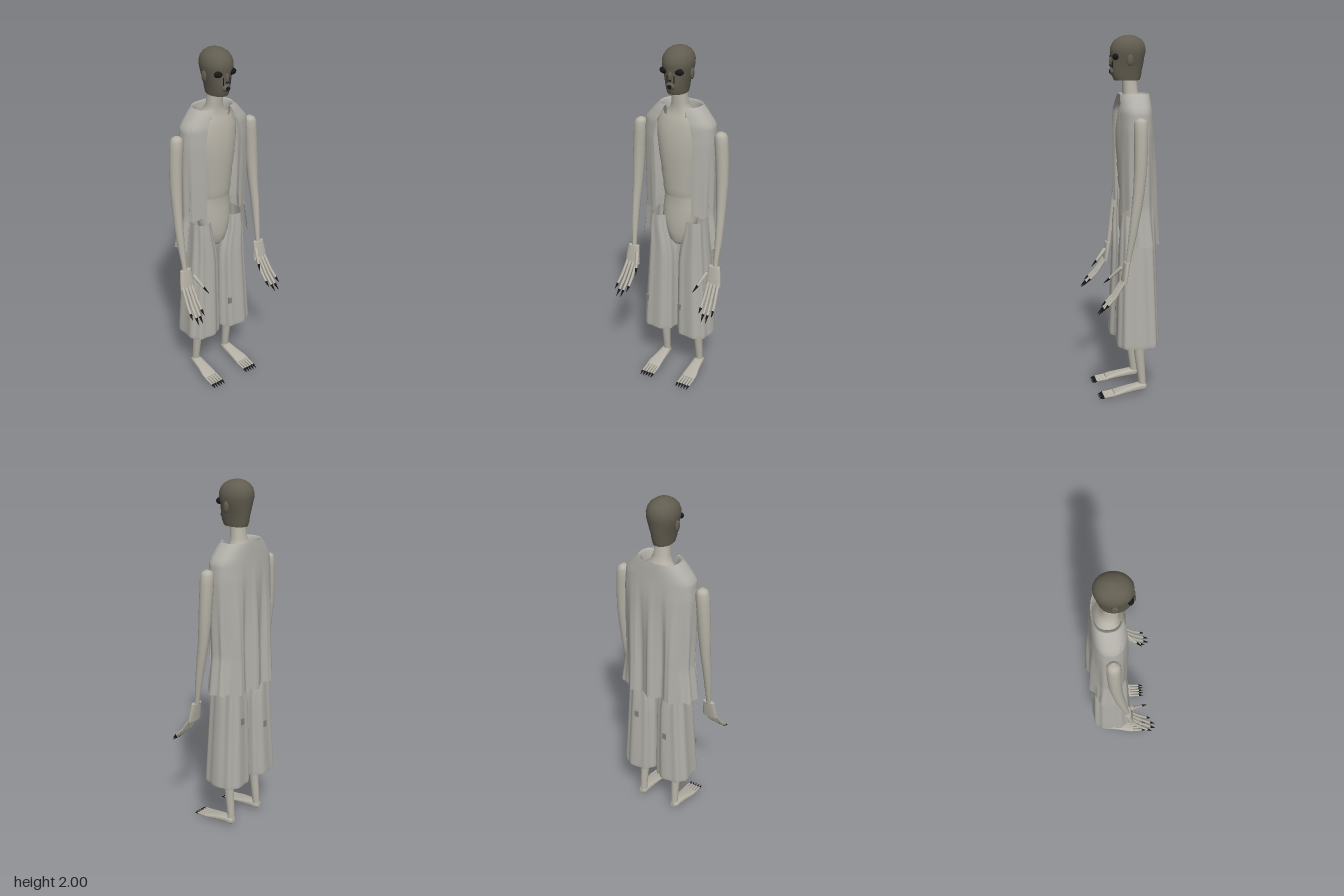
import * as THREE from 'three';

const mat = (name, color, side = THREE.FrontSide) => {
  const m = new THREE.MeshStandardMaterial({ color, side });
  m.name = name;
  return m;
};
const spow = (v, p) => Math.sign(v) * Math.pow(Math.abs(v), p);

// Grid of points f(column, row) turned into a smooth surface
function grid(cols, rows, closed, f) {
  const pos = [], idx = [], n = closed ? cols : cols + 1;
  for (let j = 0; j <= rows; j++) for (let i = 0; i < n; i++) pos.push(...f(i / cols, j));
  for (let j = 0; j < rows; j++) for (let i = 0; i < cols; i++) {
    const k = (i + 1) % n, a = j * n + i, b = j * n + k, c = a + n, d = b + n;
    idx.push(a, b, c, b, d, c);
  }
  const g = new THREE.BufferGeometry();
  g.setAttribute('position', new THREE.Float32BufferAttribute(pos, 3));
  g.setIndex(idx);
  g.computeVertexNormals();
  return g;
}

// Rings from bottom to top: [y, centreX, centreZ, radiusX, radiusZ]
function loft(rings, { p = 1, seg = 32, cap = true, arc = 0, ripple = () => 0 } = {}) {
  const r = rings.slice();
  if (cap) {
    const a = r[0], b = r[r.length - 1];
    r.unshift([a[0], a[1], a[2], 0, 0], a);
    r.push(b, [b[0], b[1], b[2], 0, 0]);
  }
  return grid(seg, r.length - 1, arc === 0, (u, j) => {
    const t = arc + u * (Math.PI * 2 - arc * 2), [y, cx, cz, rx, rz] = r[j];
    const k = rx > 0 ? ripple(t, y) : 0;
    return [cx + (rx + k) * spow(Math.sin(t), p), y, cz + (rz + k) * spow(Math.cos(t), p)];
  });
}

// Tapered rod between two points
function rod(a, b, ra, rb) {
  const A = new THREE.Vector3(...a), B = new THREE.Vector3(...b), d = B.clone().sub(A);
  const g = new THREE.CylinderGeometry(rb, ra, d.length(), 10);
  g.applyQuaternion(new THREE.Quaternion().setFromUnitVectors(new THREE.Vector3(0, 1, 0), d.normalize()));
  return g.translate(...A.add(B).multiplyScalar(0.5).toArray());
}

// Linear interpolation in a table with falling y
function sample(table, y) {
  let i = 0;
  while (i < table.length - 2 && y < table[i + 1][0]) i++;
  const a = table[i], b = table[i + 1];
  const t = THREE.MathUtils.clamp((a[0] - y) / (a[0] - b[0]), 0, 1);
  return a.map((v, k) => v + (b[k] - v) * t);
}

export function createModel() {
  const model = new THREE.Group();
  const cloth = mat('worn cloth', 0xb0aea7, THREE.DoubleSide);
  const skin = mat('pale skin', 0xb5b1a6);
  const mask = mat('dark head', 0x625d50);
  const black = mat('black', 0x17171a);
  const patchMat = mat('patch grey', 0x85837c);
  const add = (parent, name, geo, m) => {
    const mesh = new THREE.Mesh(geo, m);
    mesh.name = name;
    parent.add(mesh);
    return mesh;
  };

  // Torso and neck
  add(model, 'torso', loft([
    [0.865, 0, -0.04, 0.035, 0.035], [0.89, 0, -0.04, 0.052, 0.055], [0.95, 0, -0.045, 0.08, 0.07],
    [1.03, 0, -0.05, 0.105, 0.075], [1.1, 0, -0.05, 0.1, 0.07], [1.16, 0, -0.05, 0.092, 0.068],
    [1.175, 0, -0.05, 0.092, 0.074], [1.22, 0, -0.05, 0.1, 0.08], [1.24, 0, -0.05, 0.099, 0.078],
    [1.3, 0, -0.05, 0.11, 0.085], [1.32, 0, -0.05, 0.109, 0.083], [1.4, 0, -0.05, 0.122, 0.09],
    [1.5, 0, -0.052, 0.135, 0.09], [1.58, 0, -0.055, 0.14, 0.082], [1.63, 0, -0.055, 0.105, 0.068],
    [1.66, 0, -0.05, 0.062, 0.05], [1.7, 0, -0.036, 0.044, 0.042], [1.8, 0, -0.03, 0.038, 0.036],
  ], { p: 0.9, seg: 40 }), skin);

  // Head with flat-cut jaw
  const head = new THREE.Group();
  head.name = 'head';
  model.add(head);
  add(head, 'skull', loft([
    [1.76, 0, -0.018, 0.05, 0.07], [1.785, 0, -0.016, 0.055, 0.08], [1.82, 0, -0.016, 0.06, 0.085],
    [1.85, 0, -0.02, 0.068, 0.088], [1.88, 0, -0.022, 0.076, 0.09], [1.905, 0, -0.022, 0.081, 0.096],
    [1.93, 0, -0.023, 0.082, 0.096], [1.955, 0, -0.025, 0.075, 0.088], [1.975, 0, -0.026, 0.062, 0.072],
    [1.99, 0, -0.028, 0.041, 0.048], [1.998, 0, -0.03, 0.018, 0.022], [2, 0, -0.03, 0.001, 0.001],
  ], { p: 0.95, seg: 40 }), mask);
  const blob = (name, x, y, z, rx, ry, rz, m) =>
    add(head, name, new THREE.SphereGeometry(1, 20, 14).scale(rx, ry, rz).translate(x, y, z), m);
  for (const s of [-1, 1]) {
    blob('eye', s * 0.042, 1.885, 0.053, 0.027, 0.018, 0.016, black);
    blob('ear', s * 0.079, 1.865, -0.02, 0.009, 0.03, 0.018, mask);
    blob('cheekLine', s * 0.02, 1.845, 0.064, 0.003, 0.022, 0.006, black);
  }
  blob('nose', 0, 1.86, 0.066, 0.011, 0.028, 0.014, mask);
  blob('nostrils', 0, 1.841, 0.073, 0.009, 0.005, 0.007, black);
  blob('lips', 0, 1.808, 0.063, 0.024, 0.02, 0.016, mask);
  blob('mouth', 0, 1.808, 0.076, 0.013, 0.011, 0.004, black);

  // Open jacket: [y, radiusX, frontZ, backZ, half width of the opening]
  const profile = [
    [1.69, 0.118, 0.025, -0.135, 0.055], [1.665, 0.145, 0.035, -0.138, 0.07],
    [1.6, 0.2, 0.048, -0.142, 0.1], [1.5, 0.208, 0.052, -0.15, 0.118],
    [1.3, 0.208, 0.052, -0.158, 0.108], [1.08, 0.205, 0.05, -0.165, 0.11],
    [0.87, 0.235, 0.05, -0.172, 0.11],
  ];
  const P = 0.8, rows = 36;
  add(model, 'jacket', grid(140, rows, false, (u, j) => {
    const side = Math.abs(u - 0.5);
    const hem = side > 0.365 ? 1.08 + 0.008 * Math.sin(u * 60) : 0.87 + 0.012 * Math.abs(Math.sin(u * 31));
    const y = 1.69 + (hem - 1.69) * (j / rows);
    const [, rx, zf, zb, w] = sample(profile, y);
    const t0 = Math.asin(Math.pow(w / rx, 1 / P) * 0.999);
    const t = t0 + u * (Math.PI * 2 - 2 * t0);
    const x = rx * spow(Math.sin(t), P);
    let z = (zf + zb) / 2 + ((zf - zb) / 2) * spow(Math.cos(t), P);
    // folds hang deeper towards the hem of the back
    const fade = THREE.MathUtils.smoothstep(1.62 - y, 0, 0.5);
    if (Math.cos(t) < 0) z -= -Math.cos(t) * fade * (0.016 * Math.cos(x * 52) + 0.004 * Math.cos(x * 140));
    return [x + fade * 0.004 * Math.sin(t * 14), y, z];
  }), cloth);
  add(model, 'collar', loft([
    [1.63, 0, -0.055, 0.096, 0.068], [1.68, 0, -0.055, 0.1, 0.07], [1.69, 0, -0.055, 0.118, 0.08],
  ], { cap: false, arc: 0.5, seg: 48, p: P }), cloth);

  for (const s of [-1, 1]) {
    const side = s > 0 ? 'left' : 'right';

    // Wide trouser leg, open at both ends
    add(model, side + 'TrouserLeg', loft([
      [0.3, s * 0.11, -0.053, 0.101, 0.114], [0.32, s * 0.11, -0.053, 0.103, 0.116],
      [0.5, s * 0.104, -0.053, 0.096, 0.109], [0.7, s * 0.098, -0.053, 0.088, 0.102],
      [0.8, s * 0.096, -0.053, 0.083, 0.099], [0.88, s * 0.1, -0.052, 0.072, 0.095],
      [0.96, s * 0.108, -0.05, 0.058, 0.09], [1.04, s * 0.11, -0.05, 0.05, 0.085],
    ], { p: 0.72, seg: 72, cap: false, ripple: (t, y) => 0.004 * Math.sin(t * 9) * (y < 1 ? 1 : 0.3) }), cloth);

    // Lower leg
    add(model, side + 'Shin', loft([
      [0.04, s * 0.113, -0.085, 0.022, 0.021], [0.1, s * 0.112, -0.081, 0.022, 0.022],
      [0.25, s * 0.11, -0.066, 0.026, 0.029], [0.45, s * 0.11, -0.055, 0.03, 0.033],
      [0.95, s * 0.1, -0.05, 0.035, 0.045],
    ], { seg: 20 }), skin);

    // Foot lofted heel to toe, then laid flat
    add(model, side + 'Foot', loft([
      [-0.106, s * 0.115, -0.044, 0.015, 0.012], [-0.095, s * 0.115, -0.046, 0.026, 0.02],
      [-0.06, s * 0.115, -0.045, 0.03, 0.021], [0, s * 0.118, -0.037, 0.035, 0.017],
      [0.05, s * 0.122, -0.029, 0.042, 0.013], [0.085, s * 0.122, -0.022, 0.043, 0.01],
    ], { p: 0.7, seg: 28 }).rotateX(Math.PI / 2), skin);
    for (let i = 0; i < 5; i++) {
      const x = s * (0.086 + i * 0.0175);
      add(model, side + 'Toe', rod([x, 0.021, 0.075], [x, 0.013, 0.145], 0.008, 0.006), skin);
      add(model, side + 'ToeClaw', rod([x, 0.013, 0.143], [x, 0.005, 0.171], 0.0075, 0.0008), black);
    }

    // Arm with rounded shoulder
    add(model, side + 'Arm', loft([
      [0.8, s * 0.262, 0.034, 0.013, 0.013], [0.85, s * 0.263, 0.026, 0.014, 0.015],
      [0.95, s * 0.266, 0.01, 0.02, 0.021], [1.08, s * 0.266, -0.01, 0.024, 0.027],
      [1.18, s * 0.262, -0.024, 0.028, 0.03], [1.3, s * 0.259, -0.034, 0.034, 0.034],
      [1.42, s * 0.253, -0.038, 0.036, 0.036], [1.5, s * 0.247, -0.039, 0.037, 0.037],
      [1.545, s * 0.244, -0.039, 0.035, 0.036], [1.562, s * 0.242, -0.039, 0.027, 0.028],
      [1.57, s * 0.241, -0.039, 0.012, 0.013],
    ], { seg: 24 }), skin);

    // Palm, four fingers and thumb, all with claws
    const hand = new THREE.Group();
    hand.name = side + 'Hand';
    model.add(hand);
    add(hand, 'palm', loft([
      [0.7, s * 0.262, 0.056, 0.045, 0.012], [0.74, s * 0.262, 0.05, 0.043, 0.014],
      [0.81, s * 0.26, 0.038, 0.034, 0.014],
    ], { p: 0.8, seg: 24 }), skin);
    const fingers = [[0.235, 0.235, 0.57, 0.175], [0.253, 0.263, 0.54, 0.2], [0.273, 0.29, 0.54, 0.2], [0.293, 0.314, 0.57, 0.175]];
    for (const [x0, x1, y1, z1] of fingers) {
      const at = (u, sag) => [s * (x0 + (x1 - x0) * u), 0.715 + (y1 - 0.715) * u - sag, 0.056 + (z1 - 0.056) * u];
      add(hand, 'fingerBase', rod(at(0, 0), at(0.45, 0.016), 0.009, 0.0085), skin);
      add(hand, 'knuckle', new THREE.SphereGeometry(0.0088, 10, 8).translate(...at(0.45, 0.016)), skin);
      add(hand, 'fingerEnd', rod(at(0.45, 0.016), at(0.8, 0.008), 0.0085, 0.007), skin);
      add(hand, 'claw', rod(at(0.78, 0.008), at(1, 0), 0.008, 0.0008), black);
    }
    add(hand, 'thumb', rod([s * 0.226, 0.775, 0.062], [s * 0.197, 0.71, 0.123], 0.012, 0.007), skin);
    add(hand, 'thumbClaw', rod([s * 0.198, 0.712, 0.121], [s * 0.184, 0.682, 0.152], 0.0075, 0.0008), black);
  }

  // Small sewn patches
  for (const [x, y, z, tilt] of [[-0.17, 0.485, 0.046, -0.25], [0.045, 0.485, 0.05, -0.2],
    [-0.09, 0.62, -0.16, 0], [0.1, 0.7, -0.158, 0]]) {
    const patch = add(model, 'patch', new THREE.BoxGeometry(0.022, 0.038, 0.009), patchMat);
    patch.position.set(x, y, z);
    patch.rotation.y = tilt;
  }
  return model;
}
